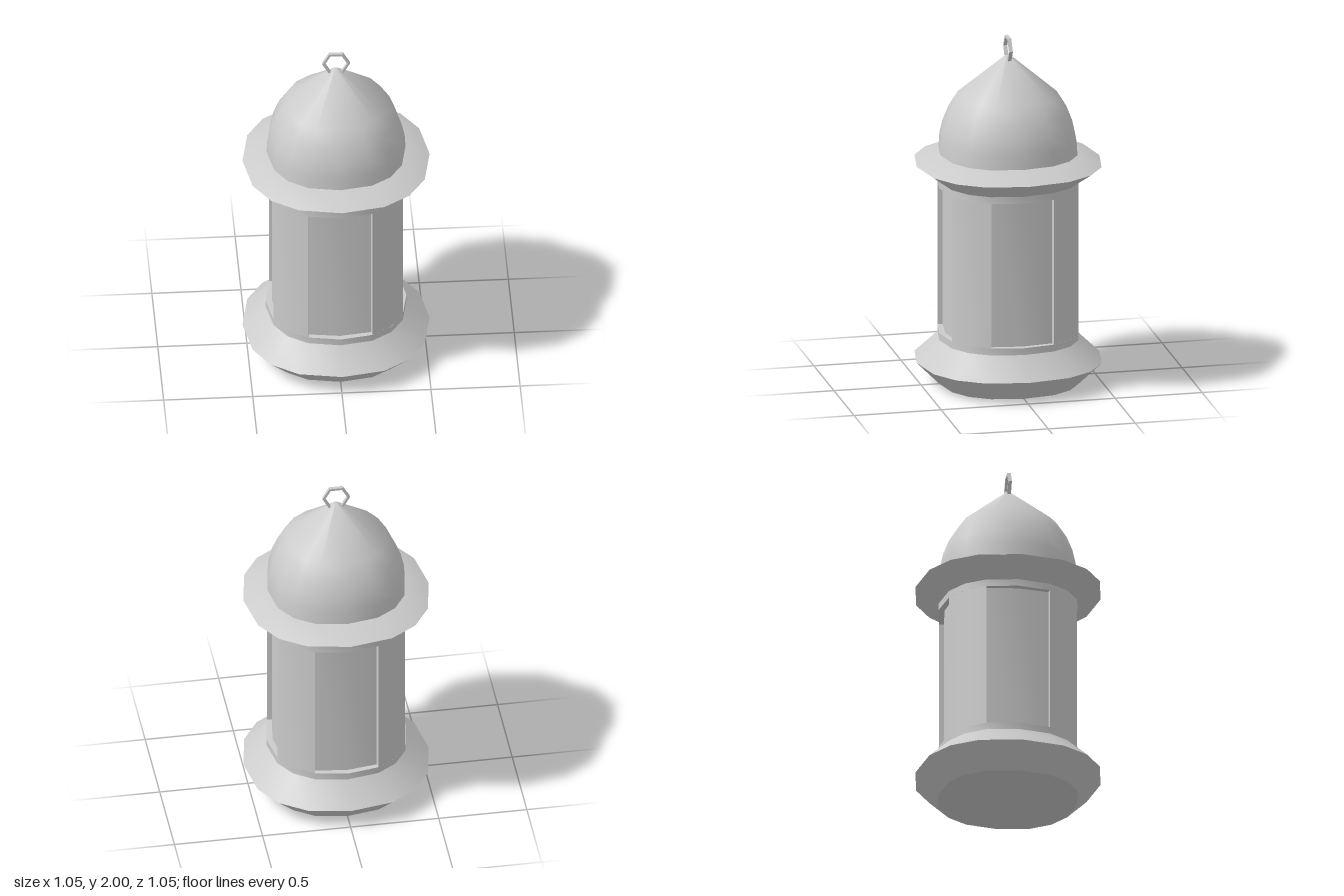
import * as THREE from 'three';
import { toCreasedNormals } from 'three/addons/utils/BufferGeometryUtils.js';

const CREASE = 0.56; // smooth around the body, sharp between bands

function addMesh(group, name, geometry, material) {
  const mesh = new THREE.Mesh(toCreasedNormals(geometry, CREASE), material);
  mesh.name = name;
  group.add(mesh);
  return mesh;
}

// Lathe with 16 sides, whose corners are shifted toward a squarish outline
function squarishLathe(profile) {
  const geo = new THREE.LatheGeometry(profile.map(([r, y]) => new THREE.Vector2(r, y)), 16);
  const pos = geo.attributes.position;
  const scale = [1, 1.026, 1.04, 1.026];
  const shift = [0, 0.068, 0, -0.068];
  for (let i = 0; i < pos.count; i++) {
    const side = Math.floor(i / profile.length) % 16;
    const r = profile[i % profile.length][0] * scale[side % 4];
    const a = side * Math.PI / 8 + shift[side % 4];
    pos.setX(i, r * Math.sin(a));
    pos.setZ(i, r * Math.cos(a));
  }
  return geo;
}

// Upright prism over a floor outline
function prism(points, y0, y1) {
  const shape = new THREE.Shape(points.map(([x, z]) => new THREE.Vector2(x, -z)));
  const geo = new THREE.ExtrudeGeometry(shape, { depth: y1 - y0, bevelEnabled: false });
  return geo.rotateX(-Math.PI / 2).translate(0, y0, 0);
}

function hexagon(PathType, radius) {
  const pts = [];
  for (let i = 0; i < 6; i++) {
    const a = i * Math.PI / 3;
    pts.push(new THREE.Vector2(radius * Math.cos(a), radius * Math.sin(a)));
  }
  return new PathType(pts);
}

export function createModel() {
  const group = new THREE.Group();
  group.name = 'lantern';
  const mat = new THREE.MeshStandardMaterial({ color: 0xcccccc });

  // Flared foot with the sill band on top
  addMesh(group, 'base', squarishLathe([
    [0, 0], [0.395, 0], [0.525, 0.13], [0.395, 0.255], [0.395, 0.295], [0, 0.295],
  ]), mat);

  // Lintel band with the flared eave
  addMesh(group, 'eave', squarishLathe([
    [0, 1.14], [0.395, 1.14], [0.395, 1.18], [0.525, 1.275], [0.395, 1.335], [0, 1.335],
  ]), mat);

  // Recessed window panes: one core, each face gently bent in the middle
  const core = [];
  for (let i = 0; i < 4; i++) {
    const c = Math.round(Math.cos(i * Math.PI / 2)), s = Math.round(Math.sin(i * Math.PI / 2));
    for (const [x, z] of [[-0.175, 0.335], [0, 0.36], [0.175, 0.335]]) {
      core.push([x * c + z * s, z * c - x * s]);
    }
  }
  addMesh(group, 'windowPanes', prism(core, 0.29, 1.145), mat);

  // Corner pillars between the windows
  const pillar = [[0.175, 0.33], [0.18, 0.363], [0.29, 0.29], [0.363, 0.18], [0.33, 0.175]];
  for (let i = 0; i < 4; i++) {
    addMesh(group, 'pillar', prism(pillar, 0.29, 1.145), mat).rotation.y = i * Math.PI / 2;
  }

  // Dome drawn up to a pointed cone
  addMesh(group, 'dome', squarishLathe([
    [0.39, 1.335], [0.385, 1.415], [0.368, 1.49], [0.335, 1.575], [0.28, 1.665],
    [0.018, 1.89], [0, 1.895],
  ]), mat);

  // Hexagonal hanging ring
  const ring = hexagon(THREE.Shape, 0.078);
  ring.holes.push(hexagon(THREE.Path, 0.063));
  const ringGeo = new THREE.ExtrudeGeometry(ring, { depth: 0.02, bevelEnabled: false });
  addMesh(group, 'hangingRing', ringGeo.translate(0, 1.9325, -0.01), mat);

  return group;
}
